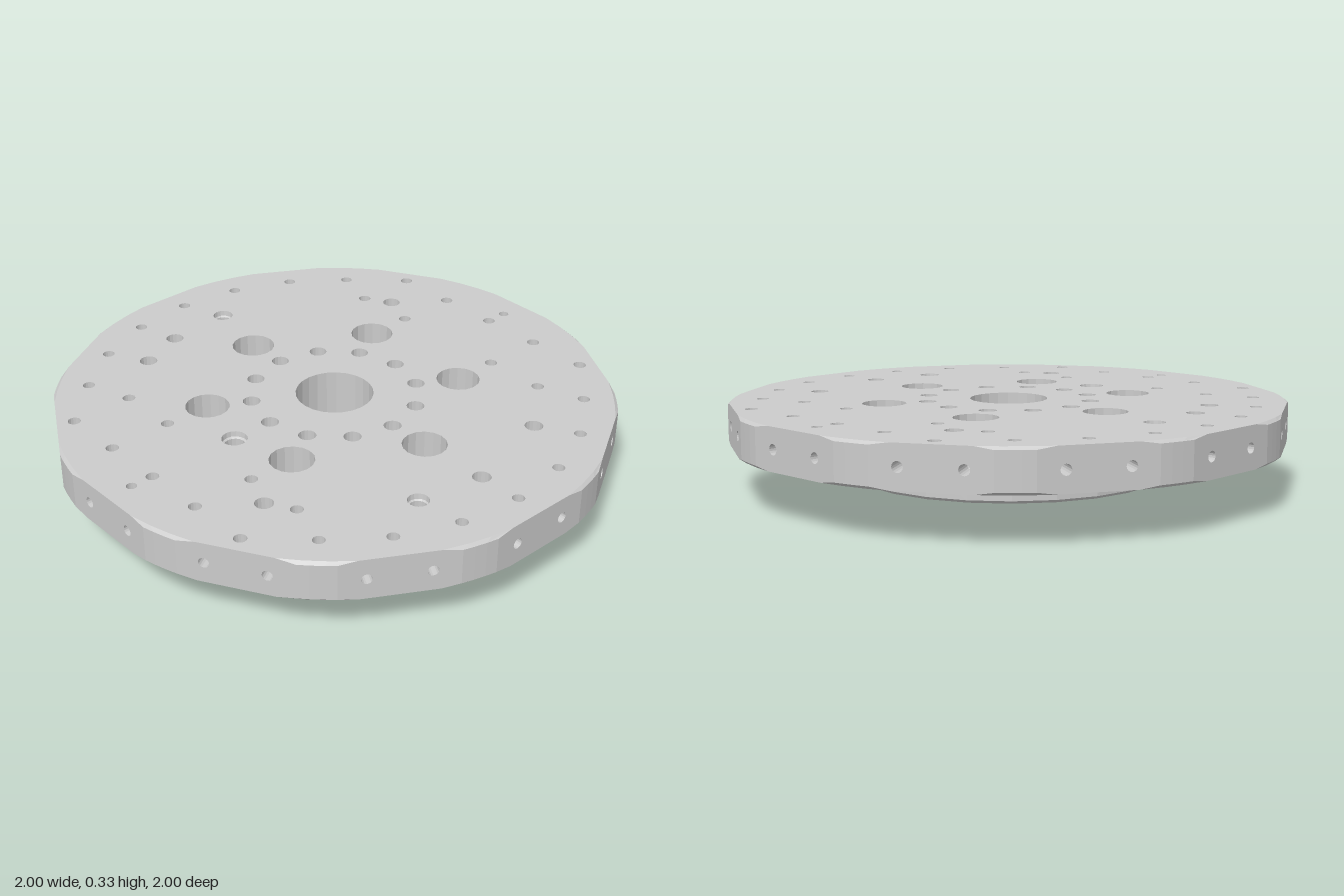
import * as THREE from 'three';
import { mergeGeometries } from 'three/addons/utils/BufferGeometryUtils.js';

const TOP = 0.326, BASE = 0.174, HUB = 0.053;   // plate top, plate underside, hub underside
const HUB_R = 0.58, BOSS_R = 0.292, BORE_R = 0.142, CH = 0.01;
const RIM = 1.02, RIM_CH = 1.009;               // corner radius, and at the chamfered edge
const SIDE_Y = 0.25, SIDE_X = 0.107, SIDE_R = 0.019;
const ROWS = [[RIM_CH, BASE], [RIM, BASE + CH], [RIM, TOP - CH], [RIM_CH, TOP]];

const material = new THREE.MeshStandardMaterial({ color: 0xcccccc, flatShading: true });

function part(name, geometries) {
  const mesh = new THREE.Mesh(mergeGeometries(geometries), material);
  mesh.name = name;
  return mesh;
}

const lathe = (profile, n) =>
  new THREE.LatheGeometry(profile.map(([r, y]) => new THREE.Vector2(r, y)), n);

function circle(x, z, r, n) {
  return Array.from({ length: n }, (_, i) => {
    const a = (i / n) * Math.PI * 2;
    return [x + r * Math.sin(a), z + r * Math.cos(a)];
  });
}

// Horizontal face with holes, outlines given as [x, z] loops
function face(outline, holes, y, up) {
  const s = up ? -1 : 1;
  const points = loop => loop.map(([x, z]) => new THREE.Vector2(x, s * z));
  const shape = new THREE.Shape(points(outline));
  shape.holes = holes.map(h => new THREE.Path(points(h)));
  return new THREE.ShapeGeometry(shape).rotateX(s * Math.PI / 2).translate(0, y, 0);
}

// Rounded corner between two flats, starting at flat number k
function corner(k, R, steps = 3) {
  const half = Math.acos(1 / R), step = Math.PI / 6;
  return Array.from({ length: steps + 1 }, (_, i) => {
    const a = k * step + half + (i / steps) * (step - 2 * half);
    return [R * Math.sin(a), R * Math.cos(a)];
  });
}

function plateOutline(R) {
  return Array.from({ length: 12 }, (_, k) => corner(k, R)).flat();
}

// Corner wall with chamfers, lofted through the rows
function cornerWall(k) {
  const pos = [], index = [];
  const rows = ROWS.map(([R, y]) => corner(k, R).map(([x, z]) => [x, y, z]));
  const n = rows[0].length;
  rows.forEach(row => row.forEach(p => pos.push(...p)));
  for (let j = 0; j < rows.length - 1; j++) {
    for (let i = 0; i < n - 1; i++) {
      const a = j * n + i, b = a + 1, c = a + n, d = c + 1;
      index.push(a, b, d, a, d, c);
    }
  }
  const g = new THREE.BufferGeometry();
  g.setAttribute('position', new THREE.Float32BufferAttribute(pos, 3));
  g.setIndex(index);
  g.computeVertexNormals();
  return g;
}

// Flat of the rim with its two side holes
function flatWall(k) {
  const right = ROWS.map(([R, y]) => new THREE.Vector2(Math.sqrt(R * R - 1), y));
  const left = right.map(p => new THREE.Vector2(-p.x, p.y)).reverse();
  const shape = new THREE.Shape([...right, ...left]);
  shape.holes = [-SIDE_X, SIDE_X].map(x =>
    new THREE.Path(circle(x, SIDE_Y, SIDE_R, 16).map(p => new THREE.Vector2(...p))));
  return new THREE.ShapeGeometry(shape).translate(0, 0, 1).rotateY(k * Math.PI / 6);
}

function sideHoles(k) {
  return [-SIDE_X, SIDE_X].map(x =>
    lathe([[SIDE_R, 0], [SIDE_R, -0.1], [0, -0.11]], 16)
      .rotateX(Math.PI / 2).translate(x, SIDE_Y, 1).rotateY(k * Math.PI / 6));
}

// Hole kinds: wall profiles running from the top down
const through = (r, bottom = BASE) => [[r, TOP], [r, bottom]];
const countersunk = (R, r, bottom = BASE) => [[R, TOP], [R - 0.002, TOP - 0.02], [r, TOP - 0.025], [r, bottom]];
const counterbored = [[0.08, TOP], [0.08, 0.2], [0.043, 0.2], [0.043, HUB]];
const blind = [[0.032, TOP], [0.032, 0.2], [0, 0.18]];

function holeLayout() {
  const holes = [];
  const add = (x, z, profile) => holes.push({ x, z, profile });
  // Outer ring of small holes
  for (const s of [-1, 1]) {
    for (let i = -3; i <= 3; i++) {
      const a = i * Math.PI / 12;
      add(0.9 * Math.sin(a), s * 0.9 * Math.cos(a), through(0.022));
    }
    // Side grids
    add(s * 0.9, 0, through(0.019));
    add(s * 0.815, 0, through(0.023));
    for (const x of [0.58, 0.815]) {
      for (const z of [-0.465, -0.2325, 0.2325, 0.465]) add(s * x, z, through(0.023));
    }
  }
  // Dowel and locating holes
  const dowels = [[-0.19, -0.71], [-0.368, -0.637], [0.637, -0.368], [-0.637, 0.368], [0.368, 0.637], [0, 0.735]];
  dowels.forEach(([x, z]) => add(x, z, through(0.033)));
  add(0.064, -0.733, countersunk(0.038, 0.031));
  add(-0.251, 0.69, countersunk(0.038, 0.031));
  add(-0.465, 0, countersunk(0.046, 0.037, HUB));
  // Bolt circle and inner ring of blind holes
  for (let i = 0; i < 6; i++) {
    const a = i * Math.PI / 3;
    add(0.465 * Math.sin(a), 0.465 * Math.cos(a), counterbored);
  }
  for (let i = 0; i < 12; i++) {
    const a = i * Math.PI / 6;
    add(0.305 * Math.sin(a), 0.305 * Math.cos(a), blind);
  }
  return holes;
}

export function createModel() {
  const group = new THREE.Group();
  group.name = 'mountingPlate';
  const holes = holeLayout();
  const SIDES = 16;

  const topLoops = holes.map(h => circle(h.x, h.z, h.profile[0][0], SIDES));
  // Loops of the holes that come out at a given underside
  const exits = y => holes.filter(h => h.profile.at(-1)[1] === y)
    .map(h => circle(h.x, h.z, h.profile.at(-1)[0], SIDES));

  const flats = Array.from({ length: 12 }, (_, k) => k);
  const outline = plateOutline(RIM_CH);

  group.add(
    part('plateTop', [face(outline, [...topLoops, circle(0, 0, BORE_R, 24)], TOP, true)]),
    part('plateUnderside', [face(outline, [...exits(BASE), circle(0, 0, HUB_R, 24)], BASE, false)]),
    part('rimFlats', flats.map(flatWall)),
    part('rimCorners', flats.map(cornerWall)),
    part('rimHoles', flats.flatMap(sideHoles)),
    part('plateHoles', holes.map(h => lathe(h.profile, SIDES).translate(h.x, 0, h.z))),
    part('hubWall', [lathe([[HUB_R - CH, HUB], [HUB_R, HUB + CH], [HUB_R, BASE]], 24)]),
    part('hubUnderside', [face(circle(0, 0, HUB_R - CH, 24), [...exits(HUB), circle(0, 0, BOSS_R, 24)], HUB, false)]),
    part('bossWall', [lathe([[BOSS_R - CH, 0], [BOSS_R, CH], [BOSS_R, HUB]], 24)]),
    part('bossUnderside', [face(circle(0, 0, BOSS_R - CH, 24), [circle(0, 0, BORE_R, 24)], 0, false)]),
    part('centreBore', [lathe([[BORE_R, TOP], [BORE_R, 0]], 24)]),
  );
  return group;
}
